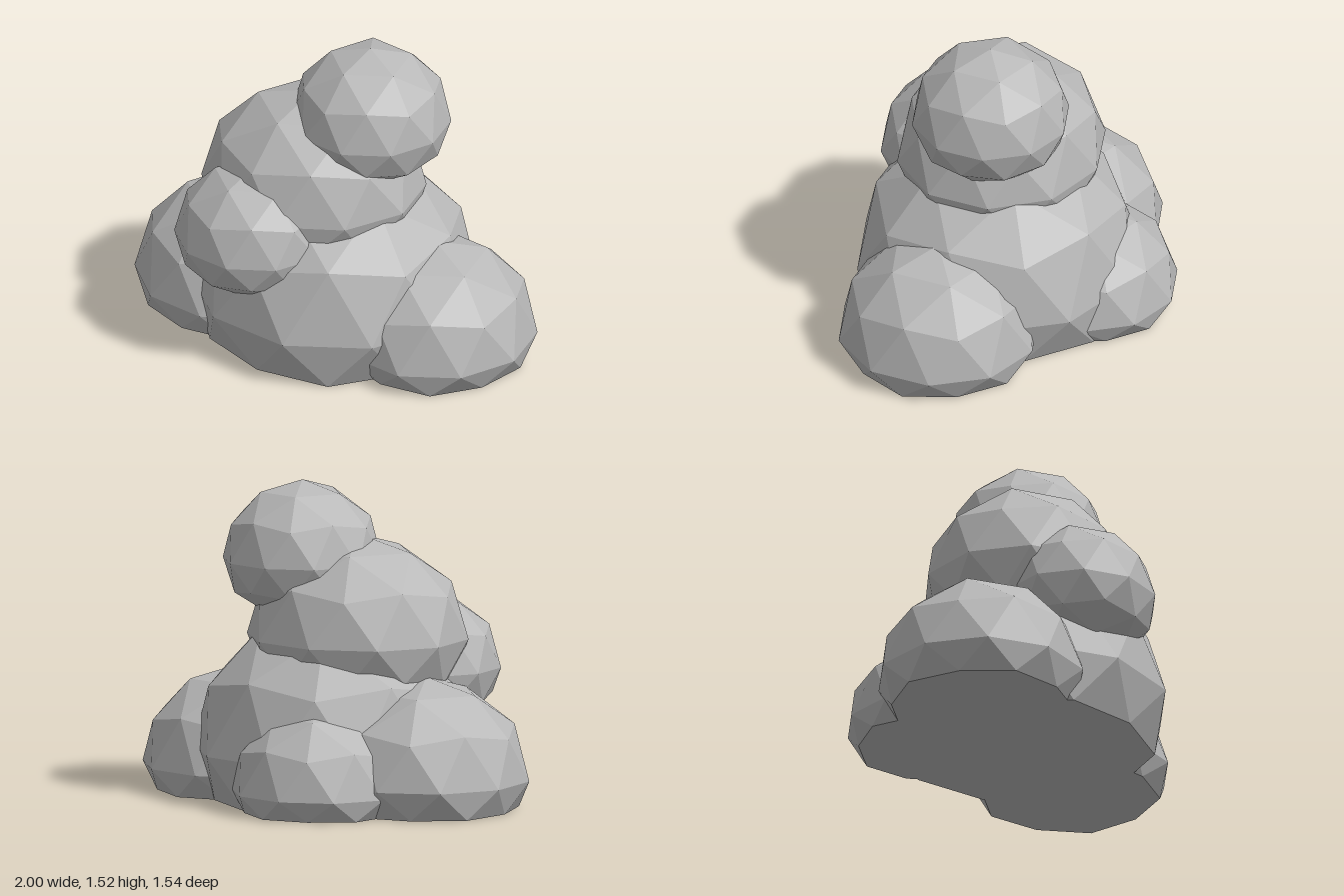
import * as THREE from 'three';

// Low-poly puff: a pole-up icosphere with a squashed underside, flattened at the ground
function puffGeometry([cx, cy, cz], [rx, ry, rz]) {
  const geo = new THREE.IcosahedronGeometry(1, 1);
  geo.rotateX(-Math.atan2((1 + Math.sqrt(5)) / 2, 1)); // put a corner at the top
  geo.rotateY(-Math.PI / 2);
  const pos = geo.attributes.position;
  for (let i = 0; i < pos.count; i++) {
    const y = pos.getY(i);
    const squash = y < 0 ? 0.78 : 1;
    pos.setXYZ(
      i,
      cx + pos.getX(i) * rx,
      Math.max(0, cy + y * ry * squash),
      cz + pos.getZ(i) * rz
    );
  }
  geo.computeVertexNormals();
  return geo;
}

export function createModel() {
  const group = new THREE.Group();
  group.name = 'puffCluster';
  const grey = new THREE.MeshStandardMaterial({ color: 0xb8b8b8, flatShading: true });
  grey.name = 'lightGrey';

  // name, centre, radii
  const puffs = [
    ['mainPuff', [0, 0.24, 0.07], [0.69, 0.69, 0.68]],
    ['leftPuff', [0.54, 0.12, 0.14], [0.483, 0.48, 0.485]],
    ['rightPuff', [-0.53, 0.14, -0.02], [0.494, 0.49, 0.5]],
    ['backPuff', [-0.135, 0.1, -0.35], [0.43, 0.42, 0.42]],
    ['frontPuff', [-0.28, 0.61, 0.4], [0.385, 0.37, 0.37]],
    ['upperPuff', [-0.1, 0.78, 0.095], [0.54, 0.49, 0.495]],
    ['topPuff', [0.165, 1.14, 0.035], [0.384, 0.38, 0.38]],
  ];
  for (const [name, centre, radii] of puffs) {
    const mesh = new THREE.Mesh(puffGeometry(centre, radii), grey);
    mesh.name = name;
    group.add(mesh);
  }
  return group;
}
